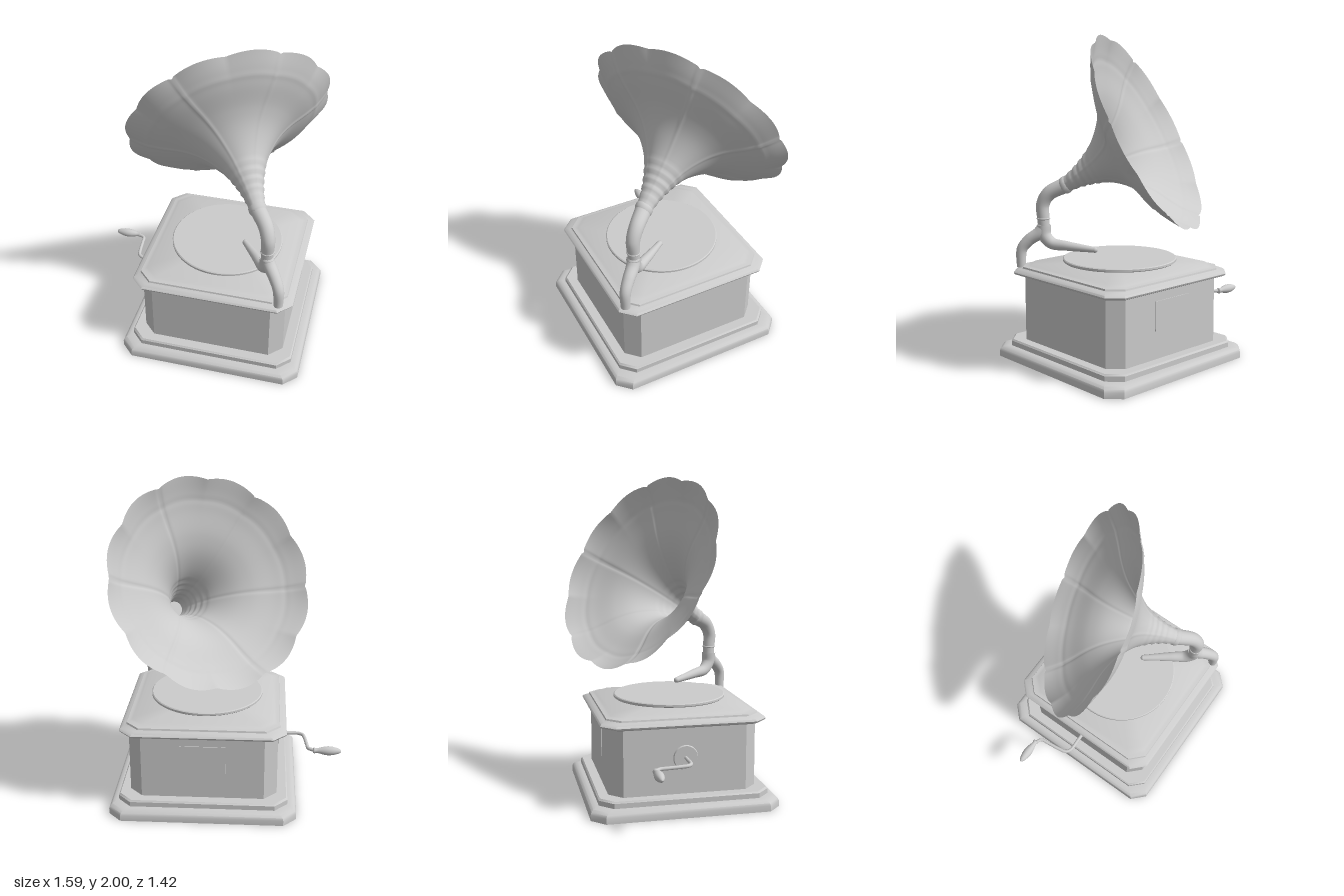
import * as THREE from 'three';
import { mergeVertices, toCreasedNormals } from 'three/addons/utils/BufferGeometryUtils.js';

const grey = new THREE.MeshStandardMaterial({ color: 0xcccccc });
const greyThin = new THREE.MeshStandardMaterial({ color: 0xcccccc, side: THREE.DoubleSide });
const V = (x, y, z) => new THREE.Vector3(x, y, z);

function add(parent, name, geometry, material = grey) {
  const mesh = new THREE.Mesh(geometry, material);
  mesh.name = name;
  parent.add(mesh);
  return mesh;
}

// Square moulding with cut corners, lofted through [halfWidth, y] rings
function moulding(profile, cut = 0.08) {
  const pos = [], index = [];
  for (const [a, y] of profile) {
    const b = Math.max(a - cut, 0);
    for (const [x, z] of [[a, b], [b, a], [-b, a], [-a, b], [-a, -b], [-b, -a], [b, -a], [a, -b]]) pos.push(x, y, z);
  }
  for (let i = 0; i < profile.length - 1; i++) {
    for (let j = 0; j < 8; j++) {
      const a = i * 8 + j, b = i * 8 + (j + 1) % 8;
      index.push(a, a + 8, b, b, a + 8, b + 8);
    }
  }
  const geo = new THREE.BufferGeometry();
  geo.setAttribute('position', new THREE.Float32BufferAttribute(pos, 3));
  geo.setIndex(index);
  return toCreasedNormals(geo, 0.6);
}

// Tube along points whose radius runs from r0 to r1
function taperedTube(points, r0, r1 = r0, segs = 40, sides = 20) {
  const curve = new THREE.CatmullRomCurve3(points);
  const geo = new THREE.TubeGeometry(curve, segs, 1, sides);
  const p = geo.attributes.position, v = V(0, 0, 0);
  for (let i = 0; i < p.count; i++) {
    const t = Math.floor(i / (sides + 1)) / segs;
    const c = curve.getPointAt(t);
    v.fromBufferAttribute(p, i).sub(c).multiplyScalar(THREE.MathUtils.lerp(r0, r1, t)).add(c);
    p.setXYZ(i, v.x, v.y, v.z);
  }
  return geo;
}

function lathe(points, segs = 32) {
  return new THREE.LatheGeometry(points.map(([r, y]) => new THREE.Vector2(r, y)), segs);
}

// Flared horn: twelve soft lobes on the rim, six raised seams, ripples at the throat
function hornGeometry() {
  const profile = new THREE.SplineCurve([
    [0.047, 0], [0.066, 0.1], [0.099, 0.2], [0.15, 0.3], [0.238, 0.4],
    [0.34, 0.47], [0.475, 0.53], [0.56, 0.578], [0.635, 0.637],
  ].map(([r, s]) => new THREE.Vector2(r, s))).getPoints(64);
  let geo = new THREE.LatheGeometry(profile, 240);
  const p = geo.attributes.position;
  for (let i = 0; i < p.count; i++) {
    const x = p.getX(i), s = p.getY(i), z = p.getZ(i);
    const r = Math.hypot(x, z), angle = Math.atan2(z, x), w = r / 0.635;
    const step = Math.PI / 3;
    const off = (angle - Math.round(angle / step) * step) * r;
    const rib = 0.008 * Math.exp(-((off / 0.01) ** 2)) * Math.min(1, w * 1.5);
    const lobe = (0.024 * Math.abs(Math.sin(6 * angle)) - 0.01) * w ** 8;
    const ripple = s < 0.3 ? 0.004 * Math.sin(s * 130) * Math.sin(Math.PI * s / 0.3) : 0;
    const ring = -0.003 * Math.exp(-(((r - 0.53) / 0.015) ** 2));
    const k = (r + lobe + ripple + rib * (1 - w)) / r;
    p.setXYZ(i, x * k, s - rib * w + ring, z * k);
  }
  geo.deleteAttribute('uv');
  geo.deleteAttribute('normal');
  geo = mergeVertices(geo, 1e-5);
  geo.computeVertexNormals();
  return geo;
}

export function createModel() {
  const model = new THREE.Group();
  model.name = 'gramophone';

  // Cabinet, turned on the spot
  const cabinet = new THREE.Group();
  cabinet.name = 'cabinet';
  cabinet.position.x = 0.088;
  cabinet.rotation.y = 0.328;
  model.add(cabinet);
  add(cabinet, 'plinth', moulding([[0, 0], [0.578, 0], [0.578, 0.035], [0.573, 0.05], [0.56, 0.062],
    [0.54, 0.068], [0.523, 0.07], [0.523, 0.1], [0.515, 0.11], [0, 0.11]]));
  add(cabinet, 'caseBody', moulding([[0.457, 0.1], [0.457, 0.54]]));
  add(cabinet, 'lid', moulding([[0, 0.522], [0.485, 0.522], [0.503, 0.53], [0.508, 0.541], [0.5, 0.552],
    [0.48, 0.561], [0.468, 0.567], [0.465, 0.577], [0.45, 0.58], [0.435, 0.584], [0.418, 0.595], [0, 0.596]]));
  add(cabinet, 'backPanel', new THREE.BoxGeometry(0.28, 0.18, 0.014)).position.set(0, 0.37, -0.455);

  // Turntable
  add(cabinet, 'turntableHub', new THREE.CylinderGeometry(0.245, 0.245, 0.03, 64)).position.y = 0.604;
  add(cabinet, 'platter', toCreasedNormals(lathe([[0, 0.613], [0.35, 0.613], [0.356, 0.618],
    [0.356, 0.63], [0.35, 0.635], [0, 0.635]], 72), 0.6));

  // Winding crank
  const crank = new THREE.Group();
  crank.name = 'crank';
  crank.position.y = 0.333;
  cabinet.add(crank);
  const plate = add(crank, 'crankPlate', new THREE.CylinderGeometry(0.072, 0.078, 0.016, 32));
  plate.rotation.z = Math.PI / 2;
  plate.position.x = -0.46;
  add(crank, 'crankRod', taperedTube([V(-0.45, 0, 0), V(-0.52, 0, 0), V(-0.59, 0, 0), V(-0.622, 0, -0.02),
    V(-0.635, 0, -0.07), V(-0.645, 0, -0.15), V(-0.655, 0, -0.205), V(-0.7, 0, -0.23)], 0.011, 0.011, 60, 14));
  const handle = add(crank, 'crankHandle', lathe([[0, 0], [0.016, 0], [0.019, 0.008], [0.014, 0.018], [0.017, 0.035],
    [0.025, 0.065], [0.029, 0.095], [0.026, 0.125], [0.018, 0.155], [0.01, 0.172], [0, 0.176]]));
  handle.rotation.z = Math.PI / 2;
  handle.position.set(-0.682, 0, -0.23);

  // Tone arm: support elbow, upright pipe and sound box arm
  const arm = new THREE.Group();
  arm.name = 'toneArm';
  model.add(arm);
  const throat = V(0.388, 1.088, 0.15);
  add(arm, 'supportElbow', taperedTube([V(0.505, 0.82, 0.228), V(0.535, 0.78, 0.24), V(0.59, 0.735, 0.272),
    V(0.632, 0.675, 0.297), V(0.638, 0.56, 0.3)], 0.043, 0.029));
  add(arm, 'uprightPipe', taperedTube([V(0.505, 0.78, 0.228), V(0.51, 0.87, 0.23), V(0.512, 0.96, 0.232),
    V(0.48, 1.03, 0.207), throat], 0.035, 0.05));
  const ring = add(arm, 'pipeRing', new THREE.TorusGeometry(0.037, 0.006, 10, 32));
  ring.rotation.x = Math.PI / 2;
  ring.position.set(0.51, 0.872, 0.23);
  const tip = V(0.243, 0.684, 0.035);
  add(arm, 'soundBoxArm', taperedTube([V(0.508, 0.83, 0.23), V(0.505, 0.765, 0.226), V(0.468, 0.716, 0.2),
    V(0.39, 0.702, 0.14), tip], 0.046, 0.018));
  add(arm, 'soundBoxTip', new THREE.SphereGeometry(0.0185, 16, 12)).position.copy(tip);

  // Horn, leaning back over the turntable with its throat set a little low
  const axis = V(-0.668, 0.453, -0.59).normalize();
  const mouth = V(-0.03, 1.425, -0.19);
  const e1 = V(0.33, 0.505, 0.014).addScaledVector(axis, -axis.dot(V(0.33, 0.505, 0.014))).normalize();
  const e2 = e1.clone().cross(axis);
  const lean = mouth.clone().sub(throat).divideScalar(0.64);
  const place = new THREE.Matrix4().makeBasis(e1, lean, e2).setPosition(throat);
  add(model, 'horn', hornGeometry().applyMatrix4(place), greyThin);
  add(model, 'hornCollar', toCreasedNormals(lathe([[0, -0.02], [0.05, -0.02], [0.055, -0.01], [0.055, 0.012],
    [0.05, 0.02], [0, 0.02]]), 0.7).applyMatrix4(place));

  return model;
}
